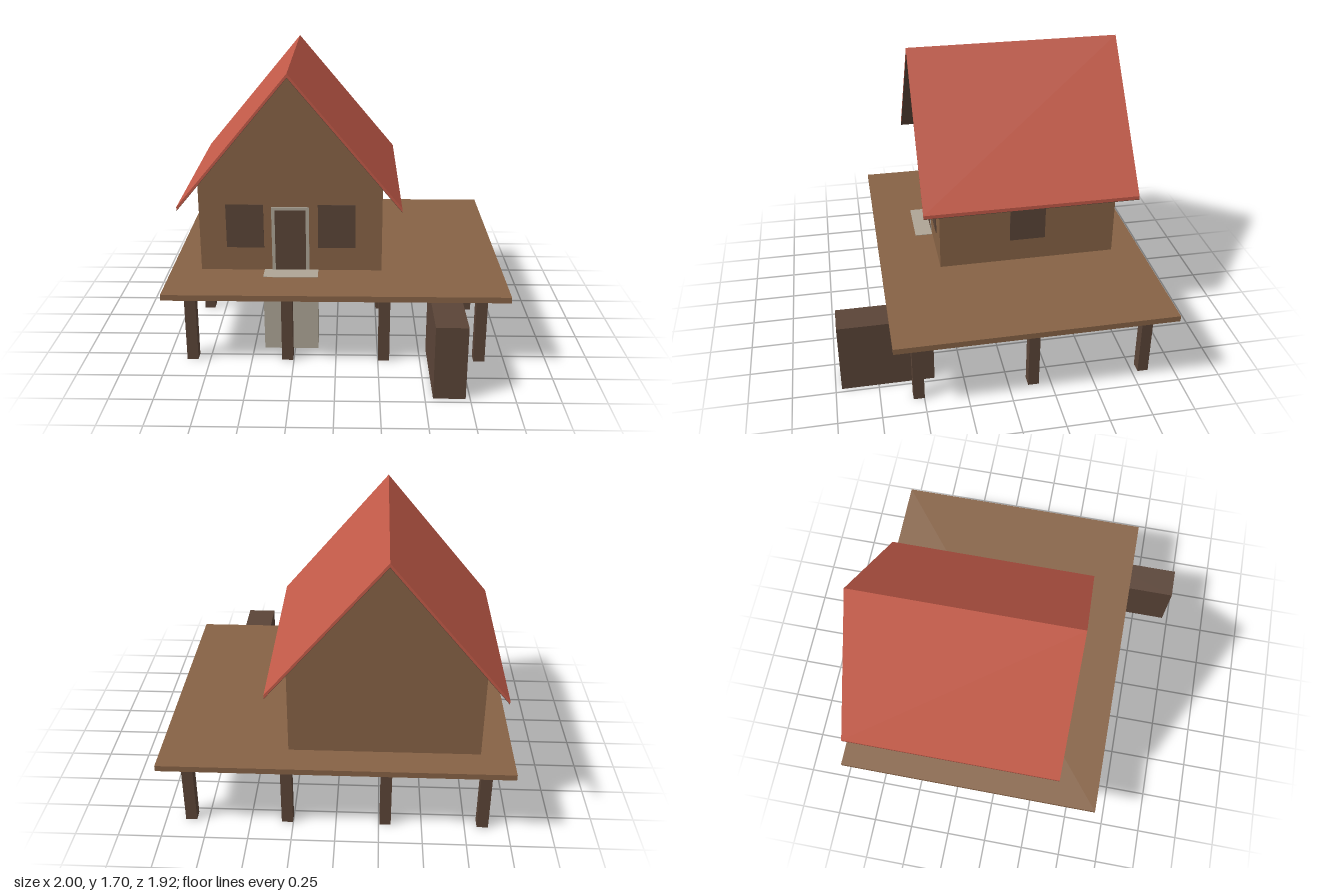
import * as THREE from 'three';

export function createModel() {
  const model = new THREE.Group();
  const mat = (name, color) => {
    const m = new THREE.MeshStandardMaterial({ color });
    m.name = name;
    return m;
  };
  const wood = mat('wood', 0x866245);
  const darkWood = mat('dark wood', 0x5a4437);
  const roofRed = mat('roof red', 0xc25a48);
  const stone = mat('pale stone', 0xada495);

  const add = (name, geometry, material) => {
    const mesh = new THREE.Mesh(geometry, material);
    mesh.name = name;
    model.add(mesh);
    return mesh;
  };
  // box given by its limits on each axis
  const box = (name, material, x0, x1, y0, y1, z0, z1) =>
    add(name, new THREE.BoxGeometry(x1 - x0, y1 - y0, z1 - z0), material)
      .position.set((x0 + x1) / 2, (y0 + y1) / 2, (z0 + z1) / 2);
  // outline in x and y, extruded from z0 to z1
  const prism = (name, material, points, z0, z1) => {
    const shape = new THREE.Shape(points.map(([x, y]) => new THREE.Vector2(x, y)));
    const geometry = new THREE.ExtrudeGeometry(shape, { depth: z1 - z0, bevelEnabled: false });
    add(name, geometry, material).position.z = z0;
  };

  // deck on a grid of posts
  const deckTop = 0.475;
  box('deck', wood, -1, 1, 0.44, deckTop, -0.96, 0.67);
  for (const x of [-0.855, -0.288, 0.285, 0.852])
    for (const z of [0.53, -0.145, -0.817])
      box('post', darkWood, x - 0.033, x + 0.033, 0, 0.44, z - 0.032, z + 0.032);

  // boarding block at the front edge
  box('stairBlock', darkWood, 0.545, 0.725, 0, 0.438, 0.42, 0.965);

  // entrance block, open at the back and bottom
  box('entranceFront', stone, -0.435, -0.11, 0, 0.477, 0.414, 0.42);
  box('entranceSide', stone, -0.435, -0.429, 0, 0.477, 0.312, 0.414);
  box('entranceSide', stone, -0.116, -0.11, 0, 0.477, 0.312, 0.414);
  box('doorstep', stone, -0.435, -0.11, 0.472, 0.478, 0.312, 0.42);

  // gabled house body
  const cx = -0.273, half = 0.545, slope = 1.198, ridge = 1.7;
  const front = 0.31, back = -0.78;
  const roofY = (dx, drop) => ridge - drop - slope * dx;
  prism('houseWalls', wood, [
    [cx - half, deckTop], [cx + half, deckTop],
    [cx + half, roofY(half, 0.024)], [cx, roofY(0, 0.024)], [cx - half, roofY(half, 0.024)],
  ], back, front);

  // roof slabs with dark undersides
  const eave = 0.655;
  for (const s of [-1, 1]) {
    const layer = (name, material, top, bottom) => prism(name, material, [
      [cx, roofY(0, top)], [cx + s * eave, roofY(eave, top)],
      [cx + s * eave, roofY(eave, bottom)], [cx, roofY(0, bottom)],
    ], -0.89, 0.415);
    layer('roofSlab', roofRed, 0, 0.022);
    layer('roofUnderside', darkWood, 0.022, 0.025);
  }

  // windows on the front and both sides
  const t = 0.004;
  for (const s of [-1, 1]) {
    const x = cx + s * 0.274, wall = cx + s * half;
    box('frontWindow', darkWood, x - 0.112, x + 0.112, 0.622, 0.895, front - t, front + t);
    box('sideWindow', darkWood, wall - t, wall + t, 0.62, 0.893, -0.342, -0.122);
  }

  // door and its frame
  box('door', darkWood, -0.368, -0.184, deckTop, 0.86, front - t, front + t);
  box('doorFrameTop', stone, -0.388, -0.164, 0.86, 0.88, front - t, front + t);
  box('doorFrameSide', stone, -0.388, -0.368, deckTop, 0.86, front - t, front + t);
  box('doorFrameSide', stone, -0.184, -0.164, deckTop, 0.86, front - t, front + t);

  return model;
}
